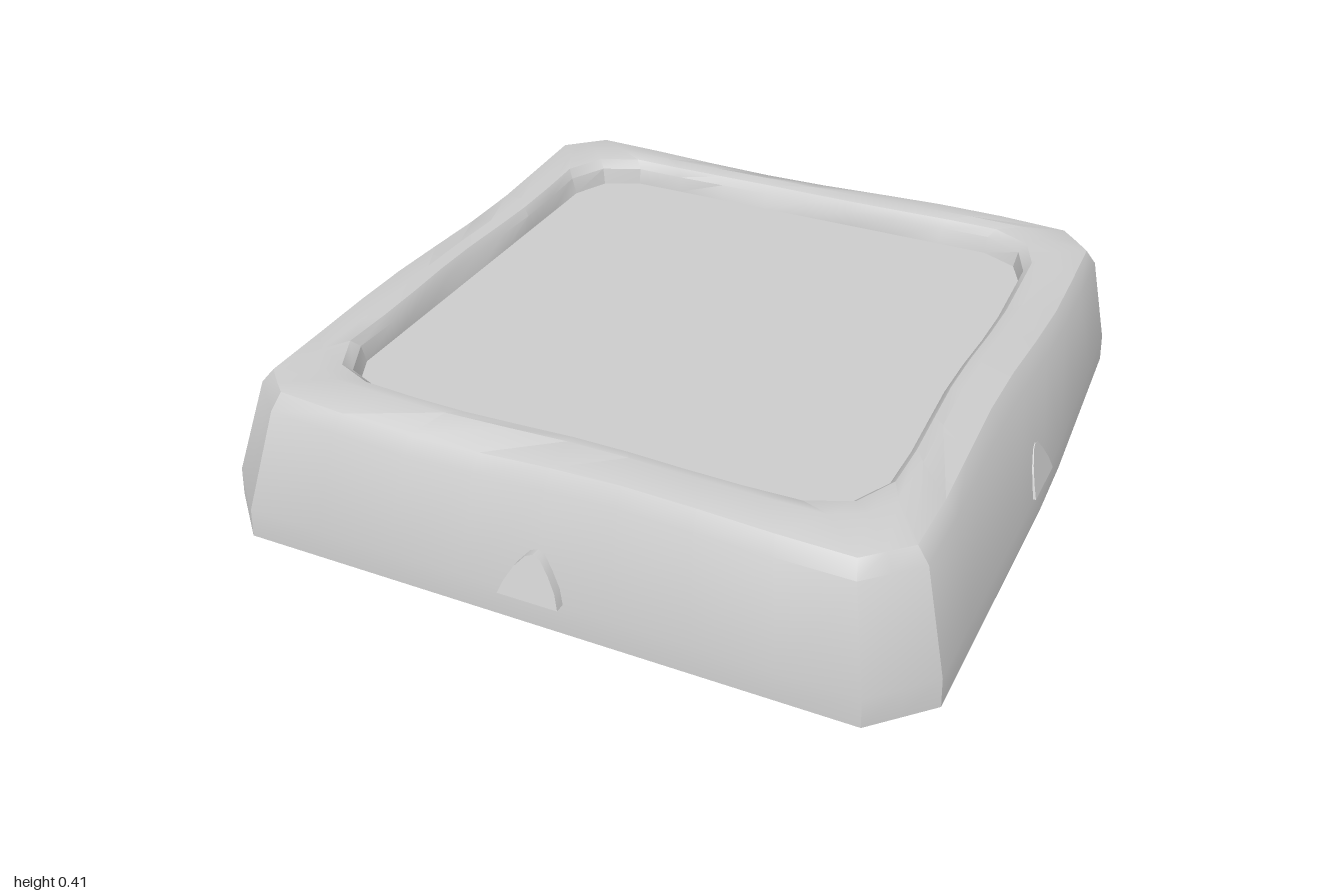
import * as THREE from 'three';
import { toCreasedNormals } from 'three/addons/utils/BufferGeometryUtils.js';

const SIDE_STEPS = 8;

// One closed loop: a square of half-width h with corners cut back by c.
// round pushes the middle of each corner outwards, wave makes the edge uneven.
function ring({ y, h, c, round = 0.5, wave = 0, taper = 0 }) {
  const points = [];
  for (let side = 0; side < 4; side++) {
    const angle = side * Math.PI / 2;
    const cos = Math.cos(angle), sin = Math.sin(angle);
    const add = (u, v, s) => {
      let x = u * cos + v * sin;
      const z = -u * sin + v * cos;
      // the plan narrows a little towards the back
      x *= 1 - taper * Math.max(0, -z - 0.1);
      points.push(new THREE.Vector3(x, y + wave * Math.sin(s * 4.2 + side * 1.9), z));
    };
    for (let i = 0; i <= SIDE_STEPS; i++) {
      const s = i / SIDE_STEPS * 2 - 1;
      add(s * (h - c), h - 0.006 * Math.cos(s * 5 + side) * (wave ? 1 : 0), s);
    }
    add(h - c * round, h - c * round, 1);
  }
  return points;
}

// Skins successive loops and closes the first and last with flat caps.
function skin(rings) {
  const n = rings[0].length;
  const points = rings.flat();
  const index = [];
  for (let r = 0; r < rings.length - 1; r++) {
    for (let i = 0; i < n; i++) {
      const j = (i + 1) % n;
      const a = r * n + i, b = r * n + j, d = a + n, e = b + n;
      index.push(a, b, e, a, e, d);
    }
  }
  const bottom = points.length;
  points.push(new THREE.Vector3(0, rings[0][0].y, 0));
  points.push(new THREE.Vector3(0, rings[rings.length - 1][0].y, 0));
  const last = (rings.length - 1) * n;
  for (let i = 0; i < n; i++) {
    const j = (i + 1) % n;
    index.push(bottom, j, i, bottom + 1, last + i, last + j);
  }
  const geometry = new THREE.BufferGeometry().setFromPoints(points);
  geometry.setIndex(index);
  return toCreasedNormals(geometry, 0.55);
}

// Small arched stud that leans back with the sloping wall.
function studGeometry() {
  const shape = new THREE.Shape([
    [-0.085, 0.085], [0.08, 0.085], [0.068, 0.122], [0.045, 0.16],
    [0.02, 0.192], [0, 0.2], [-0.02, 0.192], [-0.048, 0.16], [-0.07, 0.122],
  ].map(([x, y]) => new THREE.Vector2(x, y)));
  const geometry = new THREE.ExtrudeGeometry(shape, { depth: 0.09, bevelEnabled: false });
  const p = geometry.attributes.position;
  for (let i = 0; i < p.count; i++) {
    const lean = (p.getY(i) - 0.085) * 0.32;
    p.setZ(i, p.getZ(i) + 0.908 - lean);
  }
  geometry.computeVertexNormals();
  return toCreasedNormals(geometry, 0.6);
}

export function createModel() {
  const model = new THREE.Group();
  const stone = new THREE.MeshStandardMaterial({ color: 0xcccccc });
  stone.name = 'pale grey stone';

  // Block: plinth, sloping wall, soft shoulder, rim and sunken top
  const block = new THREE.Mesh(skin([
    ring({ y: 0, h: 0.975, c: 0.14, taper: 0.06 }),
    ring({ y: 0.08, h: 0.972, c: 0.14, taper: 0.06 }),
    ring({ y: 0.345, h: 0.9, c: 0.12, wave: 0.008, taper: 0.01 }),
    ring({ y: 0.385, h: 0.868, c: 0.1, wave: 0.01 }),
    ring({ y: 0.41, h: 0.785, c: 0.12, round: 0.35, wave: 0.004 }),
    ring({ y: 0.402, h: 0.752, c: 0.16, round: 0.32, wave: 0.003 }),
    ring({ y: 0.38, h: 0.734, c: 0.16, round: 0.32, wave: 0.002 }),
    ring({ y: 0.335, h: 0.722, c: 0.15, round: 0.32 }),
  ]), stone);
  block.name = 'block';
  model.add(block);

  // Studs: one at the middle of each wall
  const geometry = studGeometry();
  ['frontStud', 'leftStud', 'backStud', 'rightStud'].forEach((name, i) => {
    const stud = new THREE.Mesh(geometry, stone);
    stud.name = name;
    stud.rotation.y = i * Math.PI / 2;
    if (i % 2) stud.position.x = i === 1 ? -0.02 : 0.02;
    model.add(stud);
  });

  return model;
}
